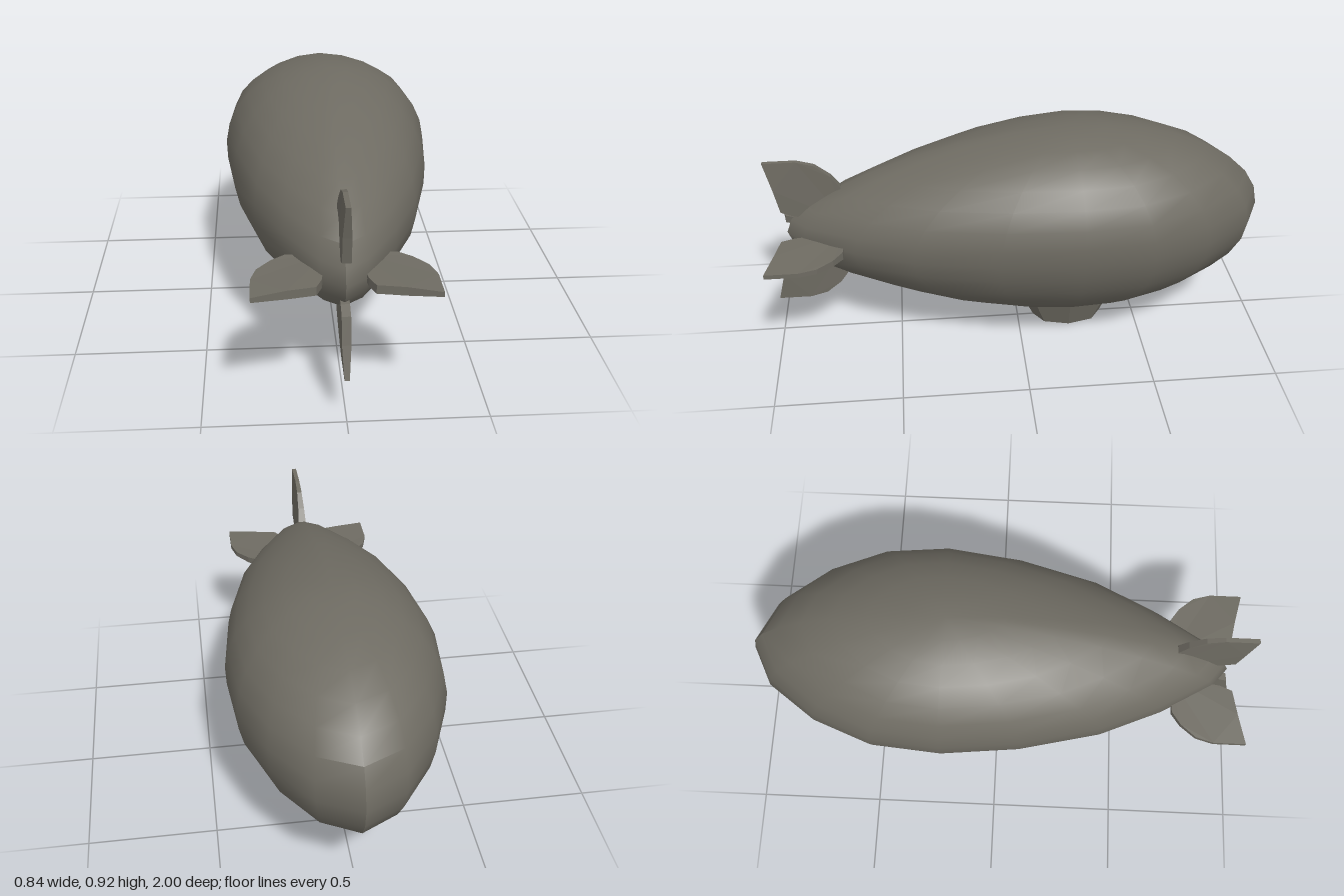
import * as THREE from 'three';
import { toCreasedNormals } from 'three/addons/utils/BufferGeometryUtils.js';

// Envelope: a globe of latitude rings following a teardrop outline, thinned towards the tail
function envelopeGeometry() {
  const half = [[0, -1], [0.16, -0.92], [0.3, -0.73], [0.39, -0.5], [0.415, -0.22],
    [0.38, 0.1], [0.3, 0.43], [0.2, 0.66], [0.08, 0.87], [0, 0.935]];
  const outline = [...half, ...half.slice(1, -1).reverse().map(([x, z]) => [-x, z])];
  const rings = 16, n = outline.length, midZ = -0.2;
  const positions = [], index = [];
  for (let j = 0; j <= rings; j++) {
    const a = (j / rings) * Math.PI;
    const s = j === rings ? 0 : Math.sin(a), c = Math.cos(a);
    for (const [ox, oz] of outline) {
      const dz = (oz - midZ) * s;
      const t = Math.max(0, dz / 1.135);
      const thin = 1 - 0.28 * Math.pow(t, 1.6);
      positions.push(ox * s * (1 + 0.14 * c), 0.51 - 0.025 * t + 0.405 * c * thin, midZ + dz);
    }
  }
  for (let j = 0; j < rings; j++) {
    for (let i = 0; i < n; i++) {
      const k = (i + 1) % n;
      const p = j * n + i, q = j * n + k, r = q + n, d = p + n;
      if (j > 0) index.push(p, q, r);
      if (j < rings - 1) index.push(p, r, d);
    }
  }
  const g = new THREE.BufferGeometry();
  g.setAttribute('position', new THREE.Float32BufferAttribute(positions, 3));
  g.setIndex(index);
  return toCreasedNormals(g, 0.7);
}

// Fin: flat outline (distance from axis, z) whose thickness narrows towards the tip
function finGeometry() {
  const points = [[0.05, 0.7], [0.2, 0.705], [0.25, 0.74], [0.3, 0.8], [0.32, 0.87],
    [0.32, 1], [0.2, 0.97], [0.1, 0.95], [0.08, 0.9]];
  const shape = new THREE.Shape(points.map(([r, z]) => new THREE.Vector2(r, z)));
  const g = new THREE.ExtrudeGeometry(shape, { depth: 2, bevelEnabled: false });
  g.translate(0, 0, -1);
  g.rotateX(Math.PI / 2);
  const p = g.attributes.position;
  for (let i = 0; i < p.count; i++) {
    const t = THREE.MathUtils.clamp((p.getX(i) - 0.2) / 0.12, 0, 1);
    p.setY(i, p.getY(i) * THREE.MathUtils.lerp(0.016, 0.009, t));
  }
  const flat = g.toNonIndexed ? (g.index ? g.toNonIndexed() : g) : g;
  flat.computeVertexNormals();
  return flat;
}

export function createModel() {
  const group = new THREE.Group();
  const grey = new THREE.MeshStandardMaterial({ color: 0x6e6b62 });
  grey.name = 'warm grey';
  const add = (name, geometry) => {
    const mesh = new THREE.Mesh(geometry, grey);
    mesh.name = name;
    group.add(mesh);
    return mesh;
  };

  add('envelope', envelopeGeometry());

  // Four tail fins around the axis
  const fin = finGeometry();
  ['leftFin', 'topFin', 'rightFin', 'bottomFin'].forEach((name, i) => {
    const mesh = add(name, fin);
    mesh.position.y = 0.485;
    mesh.rotation.z = (i * Math.PI) / 2;
  });

  // Eight-sided gondola, its top sunk into the envelope
  const cabin = new THREE.CylinderGeometry(0.235, 0.145, 0.18, 8).toNonIndexed();
  cabin.scale(0.61, 1, 1);
  cabin.translate(0, 0.09, -0.213);
  cabin.computeVertexNormals();
  add('gondola', cabin);

  return group;
}
